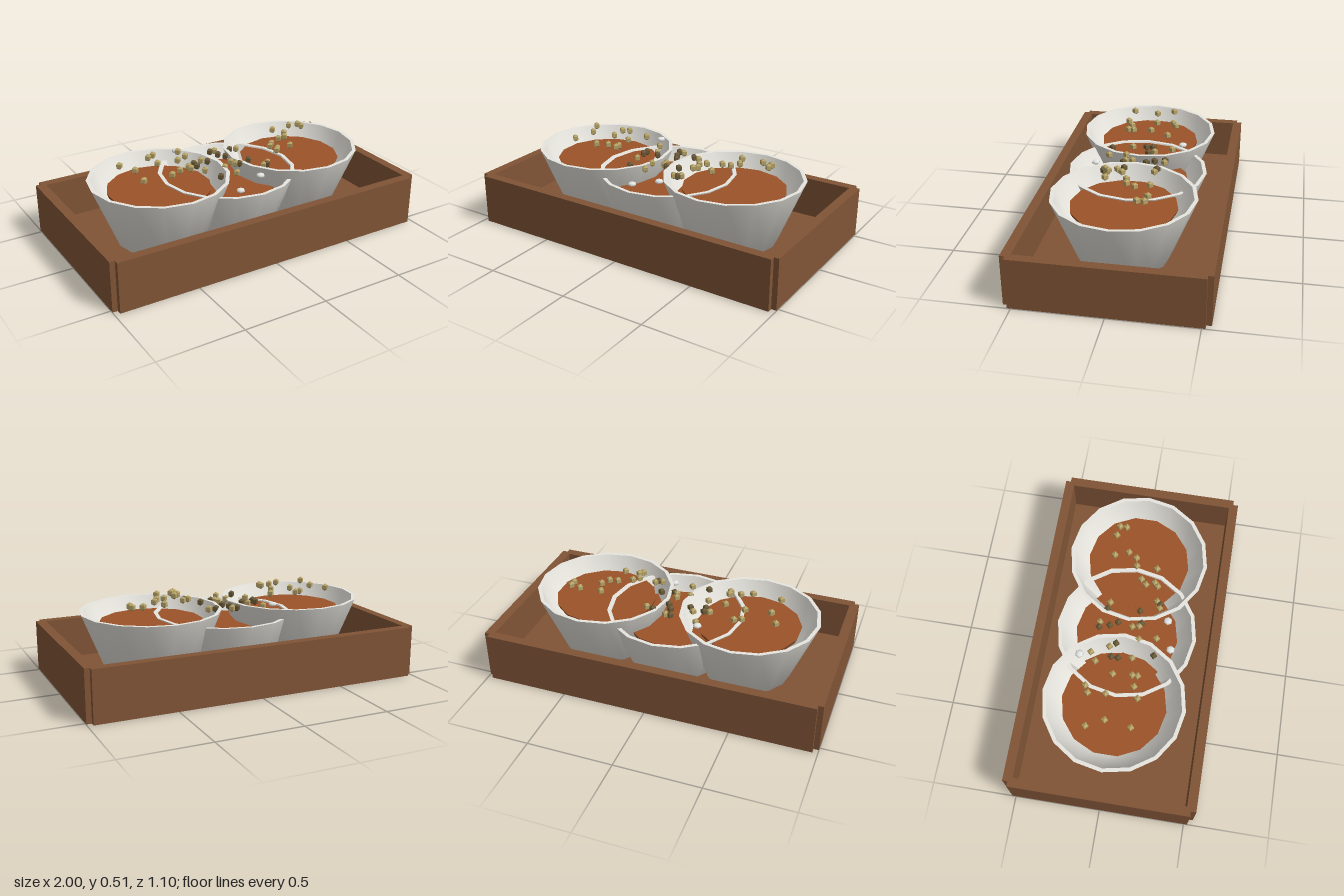
import * as THREE from 'three';

const mat = (name, color, side = THREE.FrontSide) => {
  const m = new THREE.MeshStandardMaterial({ color, side });
  m.name = name;
  return m;
};

export function createModel() {
  const model = new THREE.Group();
  model.name = 'servingTray';

  const wood = mat('wood', 0x805436);
  const ceramic = mat('ceramic', 0xe8e6df, THREE.DoubleSide);
  const sauce = mat('sauce', 0x9c5429);
  const tan = mat('tanSeed', 0xb8a468);
  const dark = mat('darkSeed', 0x6b5a38);
  const white = mat('whiteFlake', 0xe6e8e6);

  const add = (name, geo, material, x, y, z, parent = model) => {
    const mesh = new THREE.Mesh(geo, material);
    mesh.name = name;
    mesh.position.set(x, y, z);
    parent.add(mesh);
    return mesh;
  };

  // Tray: floor and four walls with stepped corners
  add('trayFloor', new THREE.BoxGeometry(1.94, 0.058, 1.04), wood, 0, 0.031, 0);
  for (const s of [-1, 1]) {
    add(s > 0 ? 'frontWall' : 'backWall',
      new THREE.BoxGeometry(1.94, 0.298, 0.055), wood, 0, 0.151, s * 0.5225);
    add(s > 0 ? 'leftWall' : 'rightWall',
      new THREE.BoxGeometry(0.055, 0.298, 1.04), wood, s * 0.9725, 0.151, 0);
  }

  // Bowl profile; rim points are doubled to keep the rim edges sharp
  const profile = [
    [0, 0], [0.26, 0], [0.41, 0.375], [0.41, 0.375], [0.388, 0.375], [0.388, 0.375],
    [0.245, 0.025], [0, 0.025],
  ].map(([r, y]) => new THREE.Vector2(r, y));
  const bowlGeo = new THREE.LatheGeometry(profile, 16);
  const sauceGeo = new THREE.CylinderGeometry(0.302, 0.29, 0.03, 14);

  // Three overlapping bowls, the middle one set lower
  for (const [name, x, y] of [['right', -0.45, 0.06], ['middle', 0, 0], ['left', 0.45, 0.06]]) {
    const group = new THREE.Group();
    group.name = name + 'Bowl';
    group.position.set(x, y, 0);
    model.add(group);
    add('bowlShell', bowlGeo, ceramic, 0, 0, 0, group);
    add('sauceSurface', sauceGeo, sauce, 0, 0.292, 0, group);
  }

  // Seeds scattered above the bowls, as x, z pairs
  const seedGeo = new THREE.SphereGeometry(0.023, 4, 3).toNonIndexed();
  seedGeo.computeVertexNormals();
  const scatter = (name, material, y, spots) => {
    for (const [x, z] of spots) add(name, seedGeo, material, x, y, z);
  };
  scatter('tanSeed', tan, 0.49, [
    [-0.63, -0.13], [-0.58, -0.03], [-0.6, 0.12], [-0.44, -0.15], [-0.4, -0.17],
    [-0.43, -0.05], [-0.43, 0.13], [-0.31, -0.03], [-0.25, -0.14], [-0.365, 0.1],
    [-0.3, 0.08], [-0.3, 0.11],
    [0.42, -0.14], [0.55, -0.15], [0.61, -0.14], [0.61, -0.1], [0.45, -0.06],
    [0.42, -0.01], [0.37, 0], [0.29, 0.04], [0.26, 0.07], [0.28, 0.12], [0.26, 0.14],
    [0.37, 0.12],
  ]);
  scatter('tanSeed', tan, 0.43, [
    [-0.18, -0.18], [-0.13, -0.08], [-0.18, 0.06], [-0.06, 0.08], [-0.04, 0.18],
    [0.01, -0.16], [0.01, 0.03], [0.02, 0.07], [0.14, -0.12], [0.15, 0.17], [0.19, 0.15],
  ]);
  scatter('darkSeed', dark, 0.43, [
    [-0.19, -0.06], [-0.19, -0.02], [-0.02, -0.16], [0, -0.1], [0.025, -0.055],
    [-0.105, -0.045], [0.1, -0.13], [0.04, 0.08], [0.115, 0.06], [-0.145, 0.18], [0.175, 0.17],
  ]);

  // Flattened white flakes
  const flakeGeo = new THREE.SphereGeometry(0.026, 6, 4);
  flakeGeo.scale(1, 0.5, 1);
  for (const [x, y, z] of [[-0.21, 0.45, -0.24], [0.09, 0.4, 0.23], [-0.07, 0.36, 0.27]])
    add('whiteFlake', flakeGeo, white, x, y, z);

  return model;
}
